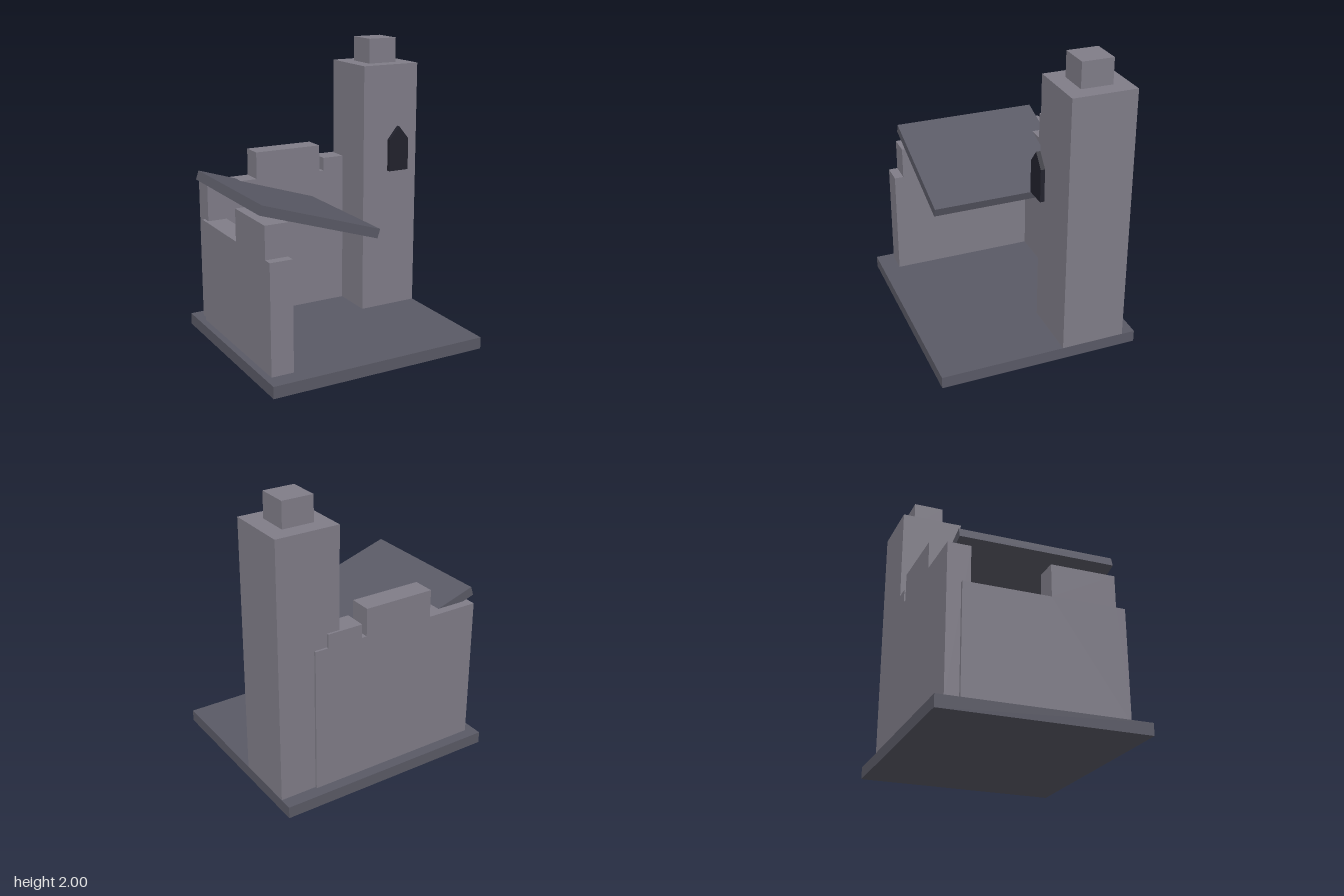
import * as THREE from 'three';

const stone = new THREE.MeshStandardMaterial({ color: 0x807d88 });
stone.name = 'stone';
const slate = new THREE.MeshStandardMaterial({ color: 0x5a5a66 });
slate.name = 'slate';
const dark = new THREE.MeshStandardMaterial({ color: 0x22222d });
dark.name = 'windowDark';

function add(group, name, geometry, material) {
  const mesh = new THREE.Mesh(geometry, material);
  mesh.name = name;
  group.add(mesh);
  return mesh;
}

// Box given by its minimum and maximum corners
function block([x0, y0, z0], [x1, y1, z1]) {
  return new THREE.BoxGeometry(x1 - x0, y1 - y0, z1 - z0)
    .translate((x0 + x1) / 2, (y0 + y1) / 2, (z0 + z1) / 2);
}

// Straight-edged outline extruded along +z
function slab(points, depth) {
  const shape = new THREE.Shape(points.map(([x, y]) => new THREE.Vector2(x, y)));
  return new THREE.ExtrudeGeometry(shape, { depth, bevelEnabled: false });
}

export function createModel() {
  const ruin = new THREE.Group();
  ruin.name = 'ruinedHouse';

  add(ruin, 'base', block([-0.77, 0, -0.675], [0.77, 0.08, 0.675]), slate);

  // Square tower with a small cap block
  add(ruin, 'tower', block([0.34, 0.075, -0.585], [0.769, 1.83, -0.155]), stone);
  add(ruin, 'towerCap', block([0.445, 1.83, -0.475], [0.657, 2, -0.263]), stone);

  // Pointed window panel standing in front of the tower
  add(ruin, 'window', slab([
    [0.475, 1.11], [0.625, 1.11], [0.625, 1.33], [0.55, 1.42], [0.475, 1.33],
  ], 0.028).translate(0, 0, -0.061), dark);

  // Back wall with a broken, stepped top
  add(ruin, 'backWall', slab([
    [-0.705, 0.075], [0.52, 0.075], [0.52, 1.063], [0.43, 1.063], [0.43, 1.155],
    [0.185, 1.155], [0.185, 1.063], [0.15, 1.063], [0.15, 1.25], [-0.34, 1.25],
    [-0.34, 1.063], [-0.705, 1.063],
  ], 0.15).translate(0, 0, -0.6), stone);

  // Side wall, outlined as (-z, y) and turned to run front to back
  add(ruin, 'sideWall', slab([
    [-0.555, 0.075], [0.51, 0.075], [0.51, 0.812], [-0.06, 0.812],
    [-0.06, 1.03], [-0.493, 1.03], [-0.493, 0.815], [-0.555, 0.815],
  ], 0.153).rotateY(Math.PI / 2).translate(-0.725, 0, 0), stone);

  // Collapsed roof plate, sloping down to the open side
  const roof = add(ruin, 'fallenRoof', new THREE.BoxGeometry(0.862, 0.063, 1.013), slate);
  roof.position.set(-0.329, 0.988, -0.033);
  roof.rotation.z = -0.312;

  return ruin;
}
